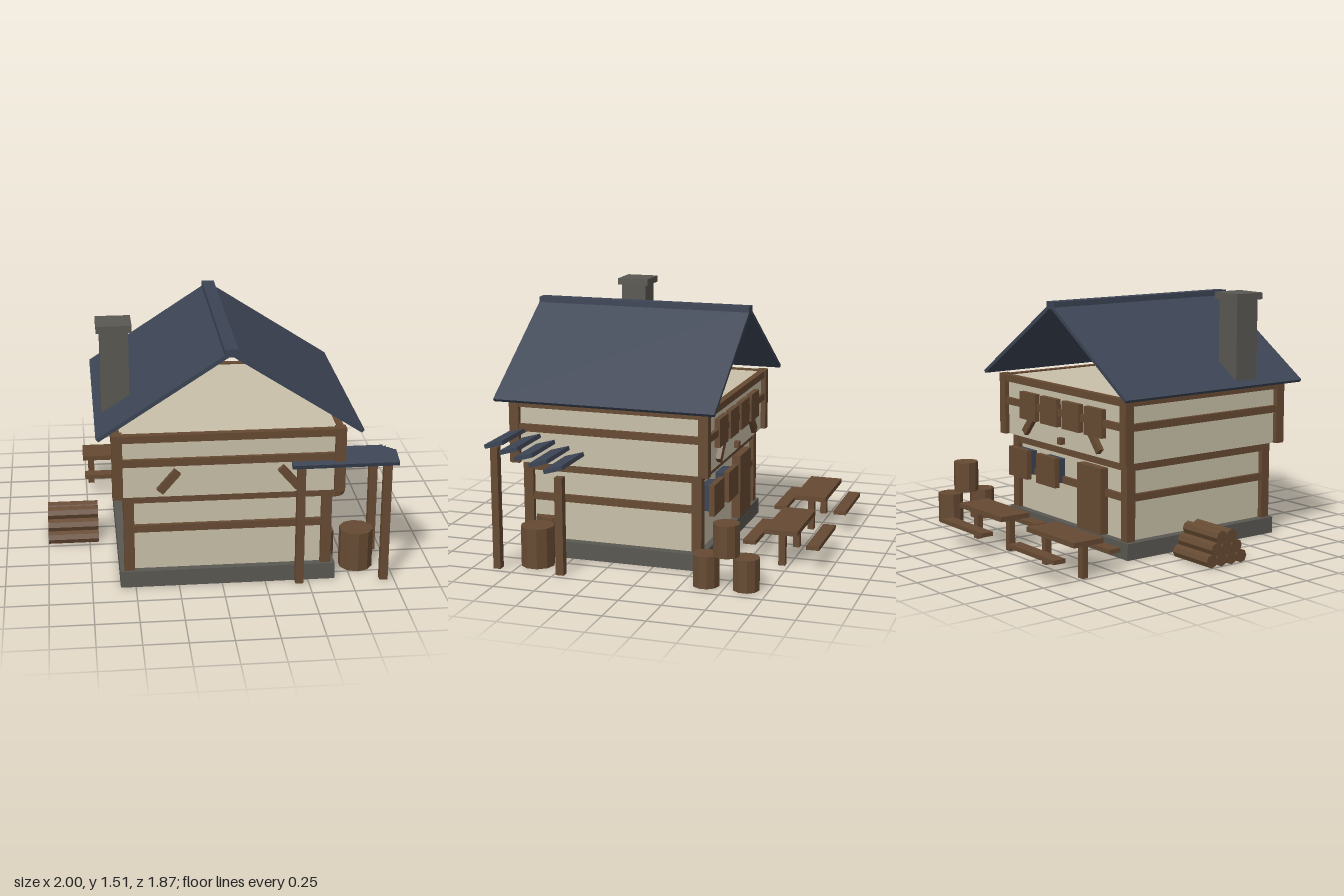
import * as THREE from 'three';

const mat = (name, color) => {
  const m = new THREE.MeshStandardMaterial({ color, flatShading: true });
  m.name = name;
  return m;
};

export function createModel() {
  const wood = mat('timber brown', 0x664a32);
  const plaster = mat('plaster cream', 0xc8c0a8);
  const stone = mat('stone grey', 0x5a5852);
  const slate = mat('slate blue', 0x3c4454);

  const model = new THREE.Group();
  model.name = 'timberHouse';
  const CX = 0.035, CZ = 0.266; // centre of the house

  const group = (name, parent = model) => {
    const g = new THREE.Group();
    g.name = name;
    parent.add(g);
    return g;
  };
  const add = (name, geo, material, x, y, z, parent = model) => {
    const m = new THREE.Mesh(geo, material);
    m.name = name;
    m.position.set(x, y, z);
    parent.add(m);
    return m;
  };
  const box = (name, material, w, h, d, x, y, z, parent) =>
    add(name, new THREE.BoxGeometry(w, h, d), material, x, y, z, parent);

  // Stone plinth
  box('plinth', stone, 1.245, 0.1, 1.13, CX, 0.05, CZ);

  // One framed storey: plaster core, corner posts, rings of beams
  function storey(name, hx, hz, y0, y1, beamYs) {
    const g = group(name);
    g.position.set(CX, 0, CZ);
    const top = y1 - 0.012;
    box('wall', plaster, 2 * hx - 0.06, top - y0, 2 * hz - 0.06, 0, (top + y0) / 2, 0, g);
    for (const sx of [-1, 1]) for (const sz of [-1, 1])
      box('cornerPost', wood, 0.06, y1 - y0, 0.06, sx * (hx - 0.03), (y0 + y1) / 2, sz * (hz - 0.03), g);
    for (const y of beamYs) for (const s of [-1, 1]) {
      box('crossBeam', wood, 2 * hx - 0.08, 0.043, 0.04, 0, y, s * (hz - 0.027), g);
      box('sideBeam', wood, 0.04, 0.043, 2 * hz - 0.08, s * (hx - 0.027), y, 0, g);
    }
  }
  storey('lowerStorey', 0.598, 0.552, 0.1, 0.572, [0.358, 0.541]);
  storey('upperStorey', 0.66, 0.61, 0.572, 0.957, [0.786, 0.931]);

  // Slanted braces, front and back
  for (const sz of [-1, 1]) for (const sx of [-1, 1]) {
    const b = box('brace', wood, 0.046, 0.155, 0.04, CX + sx * 0.343, 0.67, CZ + sz * 0.59);
    b.rotation.z = sx * 0.71;
  }

  // Roof: two slabs, open at the gables, and a ridge cap
  const roof = group('roof');
  for (const s of [-1, 1]) {
    const shape = new THREE.Shape([
      [0, 1.455], [s * 0.747, 0.968], [s * 0.732, 0.952], [0, 1.427],
    ].map(([x, y]) => new THREE.Vector2(x, y)));
    const geo = new THREE.ExtrudeGeometry(shape, { depth: 1.34, bevelEnabled: false });
    add('roofSlab', geo, slate, CX, 0, -0.405, roof);
  }
  box('ridgeCap', slate, 0.075, 0.045, 1.34, CX, 1.441, CZ - 0.001, roof);

  // Chimney
  const chimney = group('chimney');
  box('chimneyShaft', stone, 0.16, 0.53, 0.16, -0.588, 1.215, 0.525, chimney);
  box('chimneyCap', stone, 0.2, 0.04, 0.2, -0.588, 1.495, 0.525, chimney);

  // Back wall: upper shutters, lower shutters over panes, door, hook block
  for (const i of [-1.5, -0.5, 0.5, 1.5])
    box('upperShutter', wood, 0.175, 0.17, 0.04, CX + i * 0.229, 0.782, -0.327);
  for (const x of [0.18, 0.485]) {
    box('lowerShutter', wood, 0.205, 0.185, 0.033, x, 0.41, -0.334);
    box('windowPane', slate, 0.16, 0.15, 0.06, x, 0.415, -0.288);
  }
  box('door', wood, 0.24, 0.4, 0.07, -0.22, 0.305, -0.277);
  box('hookBlock', wood, 0.04, 0.04, 0.05, 0.04, 0.615, -0.32);

  // Side shelter with a louvred roof
  const shelter = group('shelter');
  for (const x of [0.445, 0.94]) {
    box('frontPost', wood, 0.048, 0.73, 0.044, x, 0.365, 0.856, shelter);
    box('rearPost', wood, 0.048, 0.58, 0.048, x, 0.29, 0.463, shelter);
  }
  for (let i = 0; i < 5; i++) {
    const s = box('roofSlat', slate, 0.61, 0.024, 0.118, 0.695, 0.754 - i * 0.03, 0.838 - i * 0.09, shelter);
    s.rotation.x = 0.28;
  }

  // Barrels under the shelter, stumps behind
  const barrel = new THREE.CylinderGeometry(0.1, 0.1, 0.24, 10);
  for (const x of [0.575, 0.81]) add('barrel', barrel, wood, x, 0.12, 0.66);
  const stump = new THREE.CylinderGeometry(0.078, 0.078, 0.188, 10);
  for (const [y, z] of [[0.094, -0.385], [0.094, -0.62], [0.282, -0.503]])
    add('stump', stump, wood, 0.86, y, z);

  // Log pile: rows of four, three and two
  const pile = group('logPile');
  const log = new THREE.CylinderGeometry(0.04, 0.04, 0.305, 8).rotateZ(Math.PI / 2);
  for (let r = 0; r < 3; r++)
    for (let i = 0; i < 4 - r; i++)
      add('log', log, wood, -0.847, 0.04 + r * 0.065, 0.1 + (i - (3 - r) / 2) * 0.0733, pile);

  // Two tables with benches
  for (const x of [-0.535, 0.205]) {
    const t = group('picnicTable');
    t.position.set(x, 0, -0.708);
    box('tableTop', wood, 0.468, 0.03, 0.2, 0, 0.21, 0, t);
    for (const s of [-1, 1]) {
      box('tableLeg', wood, 0.04, 0.195, 0.04, s * 0.18, 0.0975, 0, t);
      box('bench', wood, 0.448, 0.025, 0.077, 0, 0.132, s * 0.19, t);
    }
  }

  return model;
}
